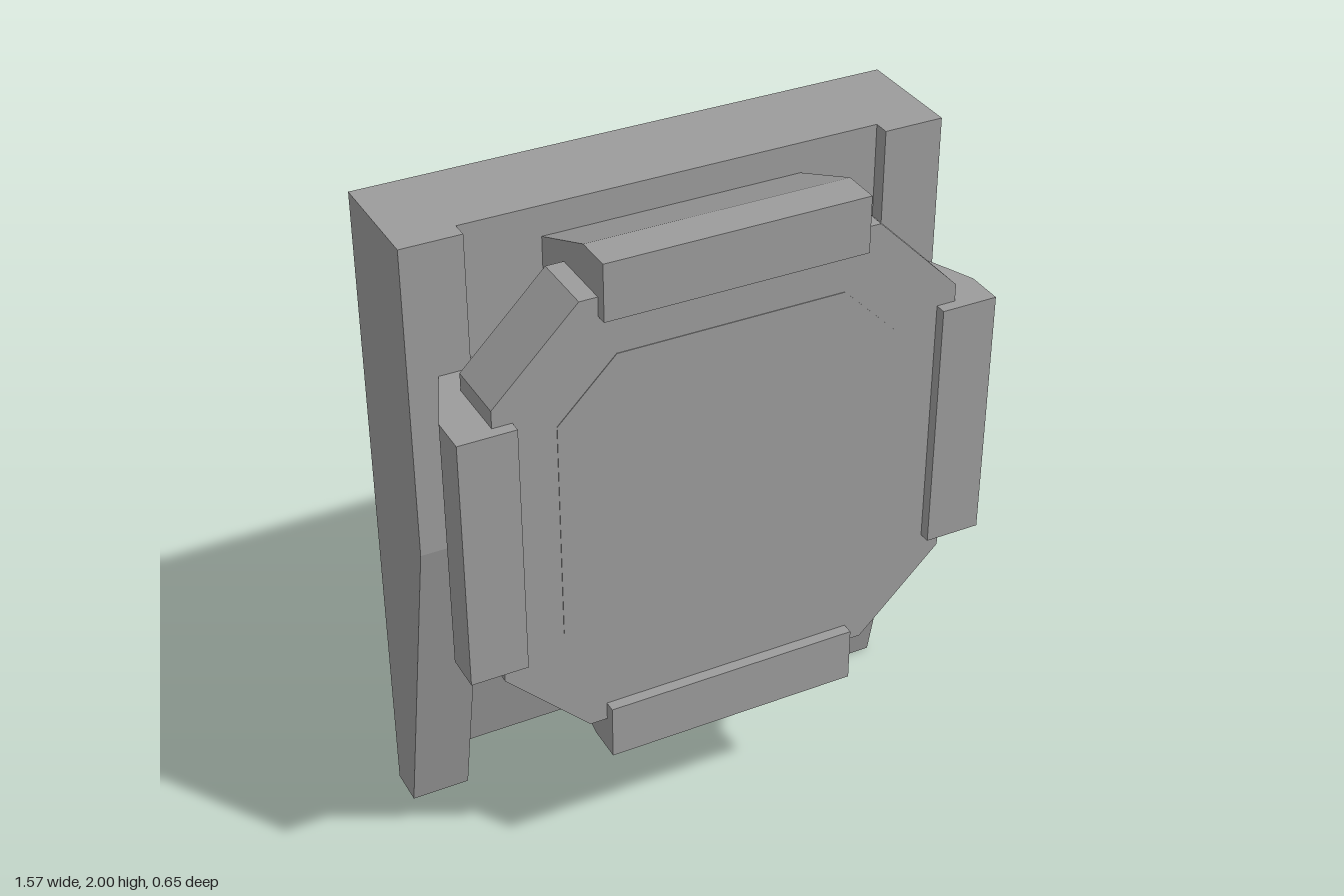
import * as THREE from 'three';

const CENTRE_Y = 1.215;

export function createModel() {
  const model = new THREE.Group();
  const material = new THREE.MeshStandardMaterial({ color: 0x9c9c9c, flatShading: true });

  const add = (name, geometry, x = 0, y = 0, z = 0) => {
    const mesh = new THREE.Mesh(geometry, material);
    mesh.name = name;
    mesh.position.set(x, y, z);
    model.add(mesh);
  };

  // Extrusion centred on its own depth
  const extrude = (points, depth) => {
    const shape = new THREE.Shape(points.map(([x, y]) => new THREE.Vector2(x, y)));
    return new THREE.ExtrudeGeometry(shape, { depth, bevelEnabled: false }).translate(0, 0, -depth / 2);
  };

  // Side profile given as [z, y], extruded across x
  const sideProfile = (points, width) => extrude(points, width).rotateY(-Math.PI / 2);

  // Square with cut corners: r is the half width, c the half length of a straight edge
  const octagon = (r, c, depth) => extrude(
    [[r, -c], [r, c], [c, r], [-c, r], [-r, c], [-r, -c], [-c, -r], [c, -r]], depth);

  // Recessed back panel, sloping back below the bend
  add('backPanel', sideProfile(
    [[-0.327, 0.145], [-0.228, 0.145], [-0.037, 1.05], [-0.037, 1.985], [-0.327, 1.985]], 1.22));

  // Side rails that run down into the feet
  for (const [name, side] of [['leftRail', 1], ['rightRail', -1]]) {
    add(name, sideProfile(
      [[-0.327, 0], [-0.213, 0], [0.01, 1.05], [0.01, 1.985], [-0.327, 1.985]], 0.175), side * 0.6975);
  }

  // Crossed brackets whose lips clamp the plate on four sides
  const bracket = [
    [-0.785, 0.327], [-0.785, 0.215], [-0.63, -0.16], [0.63, -0.16], [0.785, 0.215],
    [0.785, 0.327], [0.62, 0.327], [0.62, 0.285], [-0.62, 0.285], [-0.62, 0.327],
  ];
  const bracketGeometry = () => extrude(bracket, 0.757).rotateX(Math.PI / 2);
  add('sideBracket', bracketGeometry(), 0, CENTRE_Y);
  add('uprightBracket', bracketGeometry().rotateZ(Math.PI / 2), 0, CENTRE_Y);

  // Octagonal plate with a barely raised centre
  add('plate', octagon(0.676, 0.43, 0.197), 0, CENTRE_Y, 0.195);
  add('plateCentre', octagon(0.5, 0.33, 0.02), 0, CENTRE_Y, 0.2855);

  return model;
}
